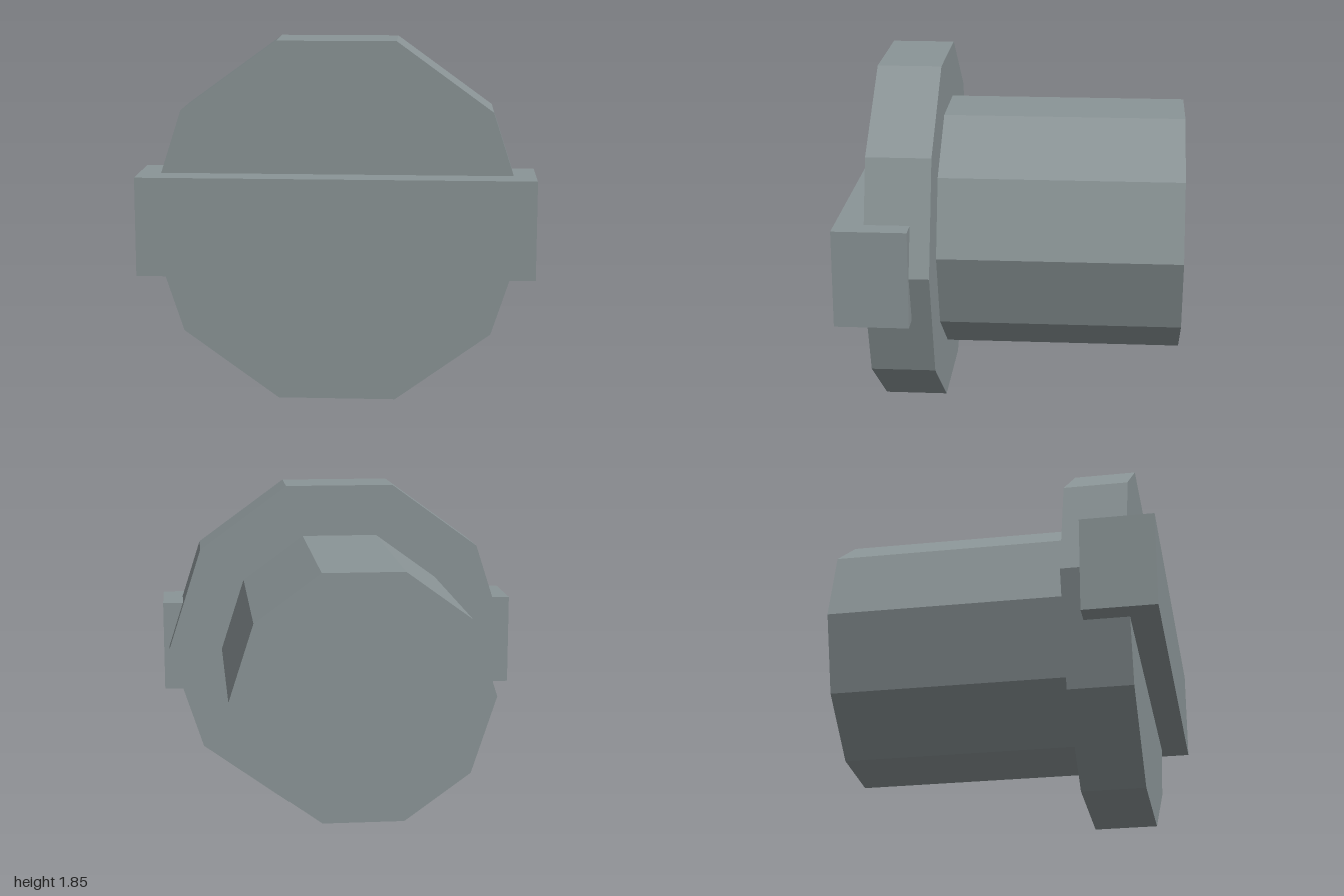
import * as THREE from 'three';

const CENTER_Y = 0.923;

export function createModel() {
  const group = new THREE.Group();
  const steel = new THREE.MeshStandardMaterial({ color: 0x8a9496, flatShading: true });
  steel.name = 'grey steel';

  const add = (name, geometry, y, zBack, zFront) => {
    const mesh = new THREE.Mesh(geometry, steel);
    mesh.name = name;
    mesh.position.set(0, y, (zBack + zFront) / 2);
    group.add(mesh);
  };

  // Ten-sided prism along z, with corners on the x axis
  const addPrism = (name, radius, zBack, zFront) => {
    const geometry = new THREE.CylinderGeometry(radius, radius, zFront - zBack, 10, 1, false, Math.PI / 2);
    geometry.rotateX(Math.PI / 2);
    add(name, geometry, CENTER_Y, zBack, zFront);
  };

  addPrism('shaft', 0.673, -0.872, 0.393);
  addPrism('flange', 0.97, 0.393, 0.724);

  // Wide bar crossing the front of the flange
  add('crossBar', new THREE.BoxGeometry(2, 0.502, 0.377), CENTER_Y, 0.495, 0.872);

  return group;
}
